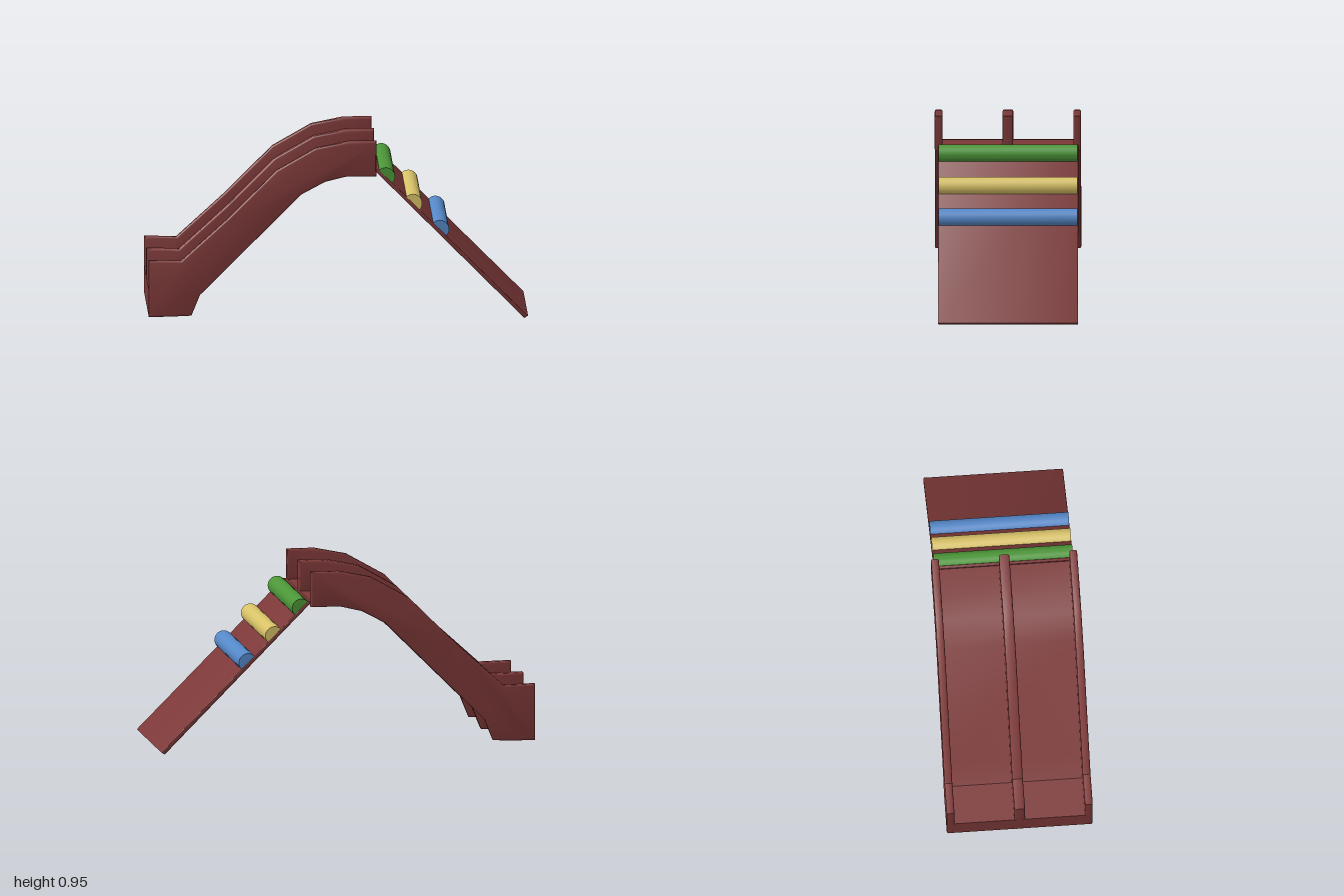
import * as THREE from 'three';
import { toCreasedNormals } from 'three/addons/utils/BufferGeometryUtils.js';

const paint = (name, color) => {
  const m = new THREE.MeshStandardMaterial({ color });
  m.name = name;
  return m;
};

// Extrude an x/y outline along z, centred on z, with an optional rounded edge kept inside the outline
function slab(name, points, z, width, material, bevel = 0) {
  const shape = new THREE.Shape(points.map(([x, y]) => new THREE.Vector2(x, y)));
  const geometry = new THREE.ExtrudeGeometry(shape, {
    depth: width - 2 * bevel,
    bevelEnabled: bevel > 0,
    bevelThickness: bevel,
    bevelSize: bevel,
    bevelOffset: -bevel,
    bevelSegments: 3,
  });
  geometry.translate(0, 0, z - width / 2 + bevel);
  const mesh = new THREE.Mesh(toCreasedNormals(geometry, 0.55), material);
  mesh.name = name;
  return mesh;
}

export function createModel() {
  const model = new THREE.Group();
  model.name = 'slide';
  const brown = paint('brown', 0x7d3838);
  const green = paint('green', 0x4c9638);
  const yellow = paint('yellow', 0xd8c268);
  const blue = paint('blue', 0x5588c8);

  // Side walls and centre divider share one outline
  const wall = [
    [-1, 0.02], [-0.9, 0.02], [-0.775, 0.025], [-0.73, 0.135], [-0.195, 0.67],
    [-0.07, 0.737], [0.045, 0.765], [0.2, 0.765], [0.2, 0.952], [0.05, 0.952],
    [-0.12, 0.917], [-0.325, 0.8], [-0.58, 0.545], [-0.83, 0.317], [-1, 0.32],
  ];
  model.add(slab('leftWall', wall, 0.365, 0.041, brown, 0.009));
  model.add(slab('centreDivider', wall, 0, 0.056, brown, 0.009));
  model.add(slab('rightWall', wall, -0.365, 0.041, brown, 0.009));

  // Sliding bed with landing and end panel, open underneath
  const bed = [
    [-1, 0.022], [-0.975, 0.022], [-0.975, 0.135], [-0.735, 0.14], [-0.195, 0.677],
    [-0.07, 0.744], [0.045, 0.772], [0.198, 0.772], [0.198, 0.792], [0.045, 0.792],
    [-0.08, 0.768], [-0.21, 0.702], [-0.69, 0.235], [-0.79, 0.16], [-1, 0.16],
  ];
  model.add(slab('bed', bed, 0, 0.73, brown));

  // Climbing ramp
  const ramp = [[0.2, 0.785], [0.98, 0.0], [1, 0.012], [0.215, 0.797], [0.2, 0.797]];
  model.add(slab('ramp', ramp, -0.002, 0.738, brown, 0.005));

  // Half-round rungs resting on the ramp
  const rungs = [
    ['topRung', 0.25, 0.76, green],
    ['middleRung', 0.393, 0.617, yellow],
    ['lowerRung', 0.535, 0.477, blue],
  ];
  for (const [name, x, y, material] of rungs) {
    const half = [];
    for (let i = 0; i <= 16; i++) {
      const a = -Math.PI / 4 + (Math.PI * i) / 16;
      half.push([x + 0.049 * Math.cos(a), y + 0.049 * Math.sin(a)]);
    }
    model.add(slab(name, half, -0.001, 0.734, material));
  }
  return model;
}
